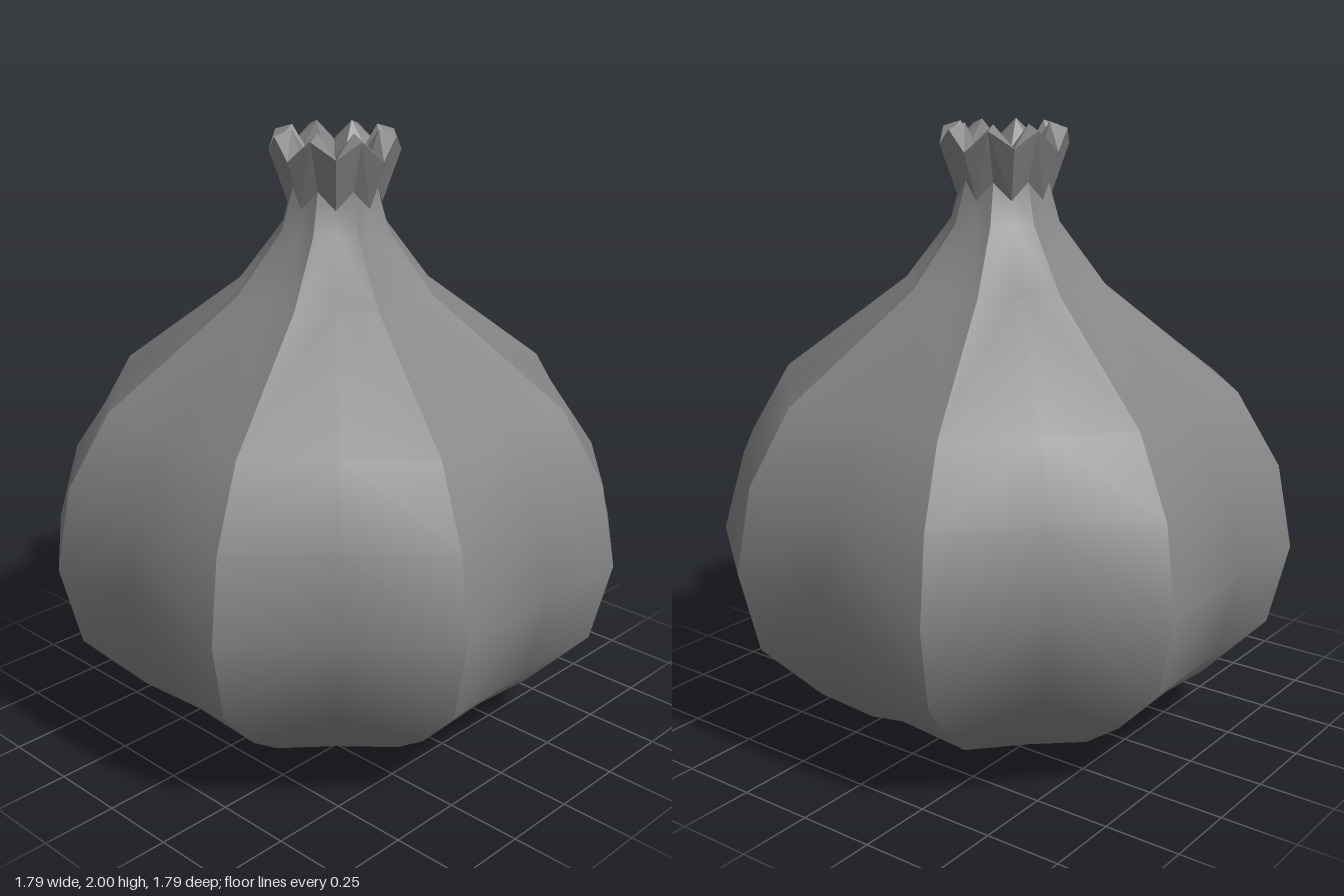
import * as THREE from 'three';

// Upright profiles of the bulb as [radius, height], from the underside centre to the neck
const RIDGE = [[0, 0.08], [0.32, 0.002], [0.514, 0.066], [0.69, 0.19], [0.893, 0.393], [0.957, 0.66],
  [0.907, 0.93], [0.767, 1.165], [0.335, 1.49], [0.18, 1.69], [0.143, 1.82]];
const STRAIGHT_CLOVE = [[0, 0.08], [0.27, 0.048], [0.446, 0.083], [0.625, 0.195], [0.825, 0.4], [0.895, 0.69],
  [0.838, 0.935], [0.7, 1.165], [0.3, 1.49], [0.162, 1.69], [0.13, 1.82]];
const DIAGONAL_CLOVE = [[0, 0.08], [0.27, 0.022], [0.475, 0.072], [0.637, 0.195], [0.845, 0.4], [0.933, 0.69],
  [0.862, 0.945], [0.712, 1.168], [0.303, 1.49], [0.163, 1.69], [0.13, 1.82]];

// Dried leaf sheath around the top: outside bottom, outer rim, inner rim, centre of the hollow
const SHEATH_TIP = [[0.142, 1.82], [0.203, 1.982], [0.145, 2.0], [0, 1.78]];
const STRAIGHT_NOTCH = [[0.15, 1.762], [0.208, 1.915], [0.145, 1.91], [0, 1.78]];
const DIAGONAL_NOTCH = [[0.15, 1.765], [0.208, 1.93], [0.145, 1.93], [0, 1.78]];

// Skin a row of upright profiles, each placed at its own angle around y;
// the diagonals alternate so that each pair of strips is mirrored
function skin(profiles, angles) {
  const rows = profiles[0].length;
  const positions = [];
  const index = [];
  profiles.forEach((profile, i) => {
    for (const [r, y] of profile) positions.push(r * Math.sin(angles[i]), y, r * Math.cos(angles[i]));
  });
  for (let i = 0; i < profiles.length - 1; i++) {
    for (let j = 0; j < rows - 1; j++) {
      const a = i * rows + j, b = a + rows;
      if (profiles[i][j][0] === 0) index.push(a, b + 1, a + 1);
      else if (profiles[i][j + 1][0] === 0) index.push(a, b, a + 1);
      else if (i % 2) index.push(a, b, a + 1, b, b + 1, a + 1);
      else index.push(a, b, b + 1, a, b + 1, a + 1);
    }
  }
  const geometry = new THREE.BufferGeometry();
  geometry.setAttribute('position', new THREE.Float32BufferAttribute(positions, 3));
  geometry.setIndex(index);
  geometry.computeVertexNormals();
  return geometry;
}

export function createModel() {
  const model = new THREE.Group();
  model.name = 'garlicBulb';
  const step = Math.PI / 8;
  const color = 0x848484;

  // Eight cloves: smooth across each one, with a sharp ridge where neighbours meet
  const smooth = new THREE.MeshStandardMaterial({ color, side: THREE.DoubleSide });
  const cloves = new THREE.Group();
  cloves.name = 'cloves';
  for (let i = 0; i < 8; i++) {
    const middle = i % 2 ? DIAGONAL_CLOVE : STRAIGHT_CLOVE;
    const a = i * 2 * step;
    const clove = new THREE.Mesh(skin([RIDGE, middle, RIDGE], [a - step, a, a + step]), smooth);
    clove.name = 'clove' + (i + 1);
    cloves.add(clove);
  }
  model.add(cloves);

  // Faceted, flaring sheath with eight tips and a hollow centre
  const profiles = [], angles = [];
  for (let i = 0; i <= 16; i++) {
    const notch = i % 4 ? DIAGONAL_NOTCH : STRAIGHT_NOTCH;
    profiles.push(i % 2 ? SHEATH_TIP : notch);
    angles.push(i * step);
  }
  const faceted = new THREE.MeshStandardMaterial({ color, flatShading: true, side: THREE.DoubleSide });
  const sheath = new THREE.Mesh(skin(profiles, angles), faceted);
  sheath.name = 'leafSheath';
  model.add(sheath);

  return model;
}
